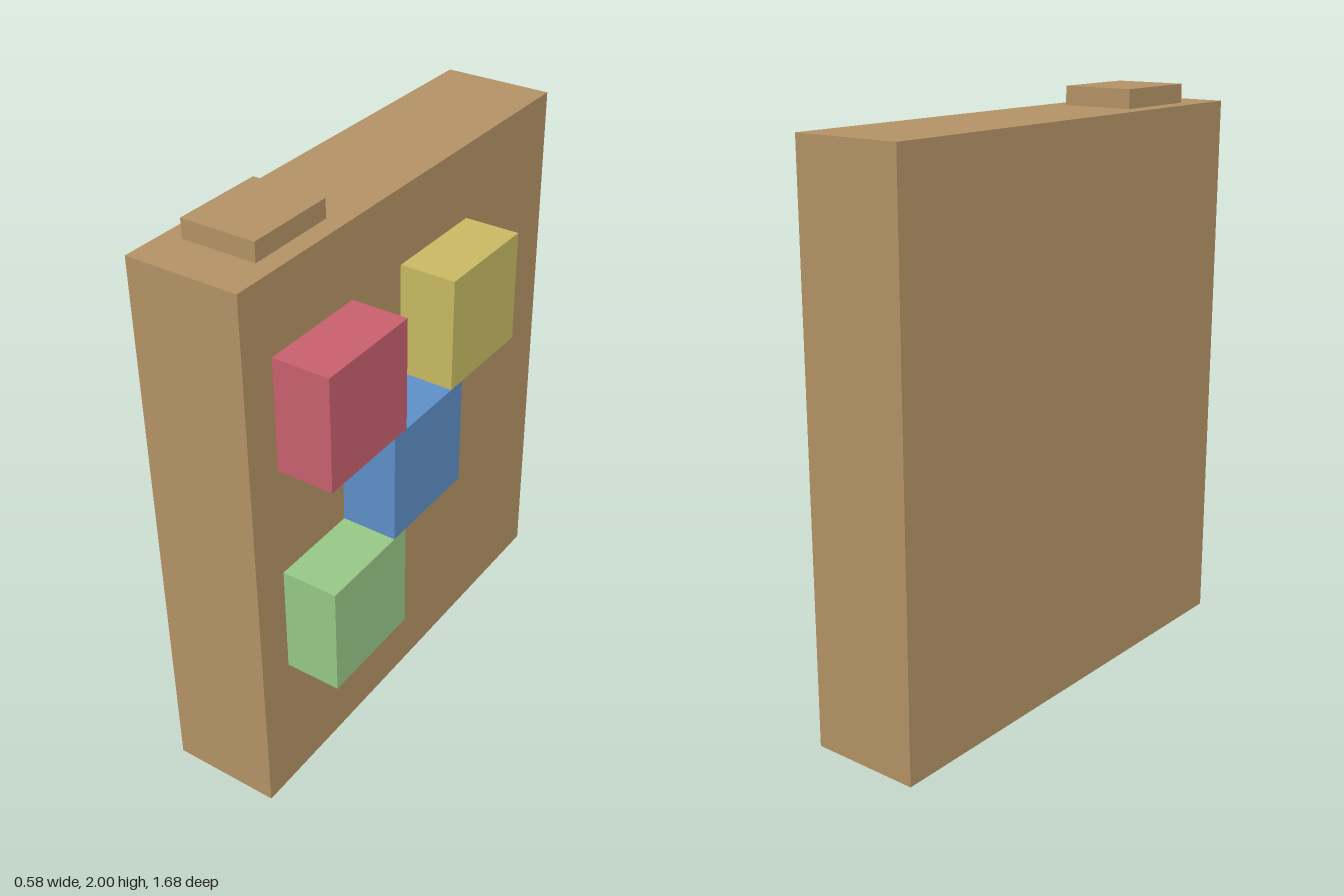
import * as THREE from 'three';

// One module of the layout grid: the model is 31 modules tall
const U = 2 / 31;

function material(name, color) {
  const m = new THREE.MeshStandardMaterial({ color });
  m.name = name;
  return m;
}

// Box given by its minimum and maximum corners in modules
function block(name, mat, min, max) {
  const [w, h, d] = max.map((v, i) => (v - min[i]) * U);
  const mesh = new THREE.Mesh(new THREE.BoxGeometry(w, h, d), mat);
  mesh.position.set(...max.map((v, i) => (v + min[i]) * U / 2));
  mesh.name = name;
  return mesh;
}

export function createModel() {
  const group = new THREE.Group();
  group.name = 'panelWithBlocks';
  const brown = material('brown', 0xb49366);

  // Upright slab and the low cap on its top edge
  group.add(block('slab', brown, [-4.5, 0, -13], [1.5, 30, 13]));
  group.add(block('topCap', brown, [-3.5, 30, 5.5], [0.5, 31, 10.5]));

  // Coloured blocks on the left face: name, colour, bottom y, rear z
  const blocks = [
    ['red', 0xc8606e, 20, 5],
    ['yellow', 0xc8ba62, 20, -5],
    ['blue', 0x5e90c8, 14, 0],
    ['green', 0x96c886, 8, 5],
  ];
  for (const [name, color, y, z] of blocks) {
    group.add(block(name + 'Block', material(name, color), [1.5, y, z], [4.5, y + 6, z + 6]));
  }
  return group;
}
